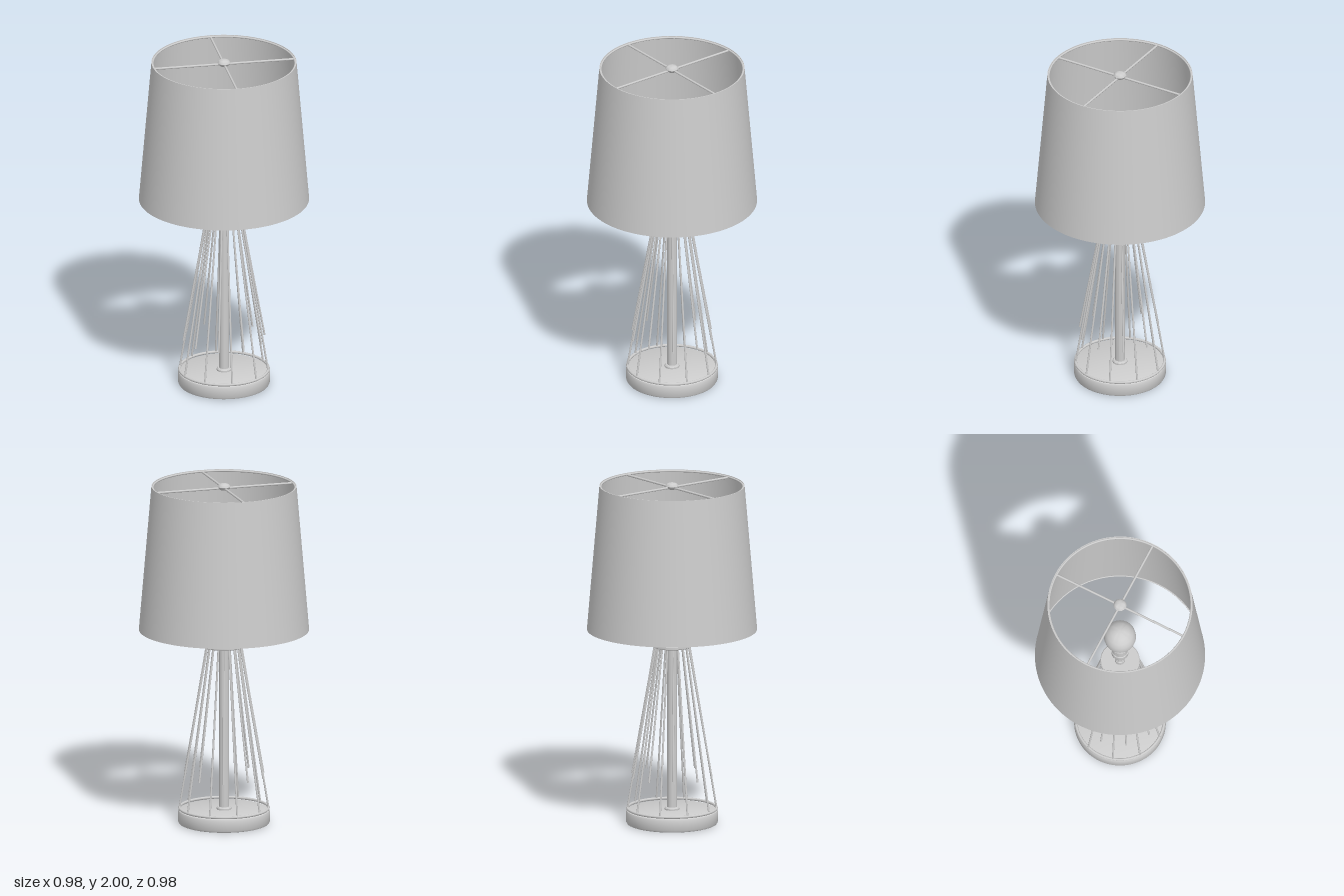
import * as THREE from 'three';
import { toCreasedNormals } from 'three/addons/utils/BufferGeometryUtils.js';

const grey = new THREE.MeshStandardMaterial({ color: 0xcccccc });
grey.name = 'plain grey';

function add(group, name, geometry) {
  const mesh = new THREE.Mesh(geometry, grey);
  mesh.name = name;
  group.add(mesh);
  return mesh;
}

// Turned part from [radius, height] pairs, bottom to top
function turned(group, name, profile, segments = 64) {
  const points = profile.map(([r, y]) => new THREE.Vector2(r, y));
  return add(group, name, toCreasedNormals(new THREE.LatheGeometry(points, segments), 0.6));
}

// Straight round rod between two points
function rod(group, name, from, to, radius) {
  const dir = to.clone().sub(from);
  const mesh = add(group, name, new THREE.CylinderGeometry(radius, radius, dir.length(), 10));
  mesh.position.copy(from).add(to).multiplyScalar(0.5);
  mesh.quaternion.setFromUnitVectors(new THREE.Vector3(0, 1, 0), dir.normalize());
}

function ring(group, name, radius, tube, y) {
  const mesh = add(group, name, new THREE.TorusGeometry(radius, tube, 10, 72));
  mesh.rotation.x = Math.PI / 2;
  mesh.position.y = y;
}

export function createModel() {
  const lamp = new THREE.Group();
  lamp.name = 'tableLamp';

  // Round base with softened edges, and the wire ring resting on it
  turned(lamp, 'base', [[0, 0], [0.25, 0], [0.258, 0.003], [0.263, 0.012], [0.263, 0.068],
    [0.259, 0.077], [0.25, 0.081], [0, 0.081]]);
  ring(lamp, 'baseRing', 0.255, 0.008, 0.09);

  // Central column with its foot collar
  turned(lamp, 'columnCollar', [[0, 0.08], [0.042, 0.08], [0.042, 0.09], [0.036, 0.097], [0, 0.097]], 32);
  turned(lamp, 'column', [[0, 0.08], [0.028, 0.08], [0.028, 1.05], [0, 1.05]], 32);

  // Cage: ten long rods to the base alternating with ten short ones
  const polar = (r, y, a) => new THREE.Vector3(r * Math.sin(a), y, r * Math.cos(a));
  const cage = new THREE.Group();
  cage.name = 'rodCage';
  lamp.add(cage);
  for (let i = 0; i < 20; i++) {
    const a = i * Math.PI / 10;
    const long = i % 2 === 0;
    rod(cage, long ? 'longRod' : 'shortRod', polar(0.1, 1.045, a),
      long ? polar(0.255, 0.09, a) : polar(0.237, 0.28, a), 0.0055);
  }
  turned(lamp, 'cageCap', [[0, 1.038], [0.108, 1.038], [0.113, 1.042], [0.113, 1.054], [0.108, 1.059], [0, 1.059]]);

  // Neck, socket and bulb
  turned(lamp, 'neck', [[0, 1.055], [0.03, 1.055], [0.03, 1.09], [0.024, 1.096], [0.024, 1.102],
    [0.032, 1.108], [0.032, 1.125], [0.026, 1.14], [0.026, 1.16], [0, 1.16]], 32);
  turned(lamp, 'socket', [[0, 1.155], [0.03, 1.155], [0.046, 1.175], [0.05, 1.19], [0.05, 1.225],
    [0.046, 1.23], [0.046, 1.275], [0.05, 1.28], [0.05, 1.3], [0.042, 1.31], [0, 1.31]], 32);
  turned(lamp, 'bulb', [[0.036, 1.3], [0.04, 1.32], [0.055, 1.35], [0.075, 1.385], [0.088, 1.42], [0.092, 1.45],
    [0.088, 1.482], [0.075, 1.51], [0.052, 1.532], [0.027, 1.544], [0, 1.548]], 40);

  // Tapered shade: a thin closed wall with wire rims inside
  turned(lamp, 'shade', [[0.484, 1.14], [0.488, 1.14], [0.416, 1.984], [0.412, 1.984], [0.484, 1.14]], 96);
  ring(lamp, 'shadeTopRim', 0.409, 0.006, 1.976);
  ring(lamp, 'shadeBottomRim', 0.481, 0.004, 1.146);

  // Crossed spider bars and finial
  for (let i = 0; i < 4; i++) {
    const a = i * Math.PI / 2;
    rod(lamp, 'spiderBar', new THREE.Vector3(0, 1.972, 0), polar(0.408, 1.972, a), 0.0065);
  }
  turned(lamp, 'finial', [[0, 1.962], [0.022, 1.962], [0.032, 1.97], [0.037, 1.98], [0.034, 1.988],
    [0.026, 1.995], [0.014, 1.999], [0, 2]], 32);

  return lamp;
}
